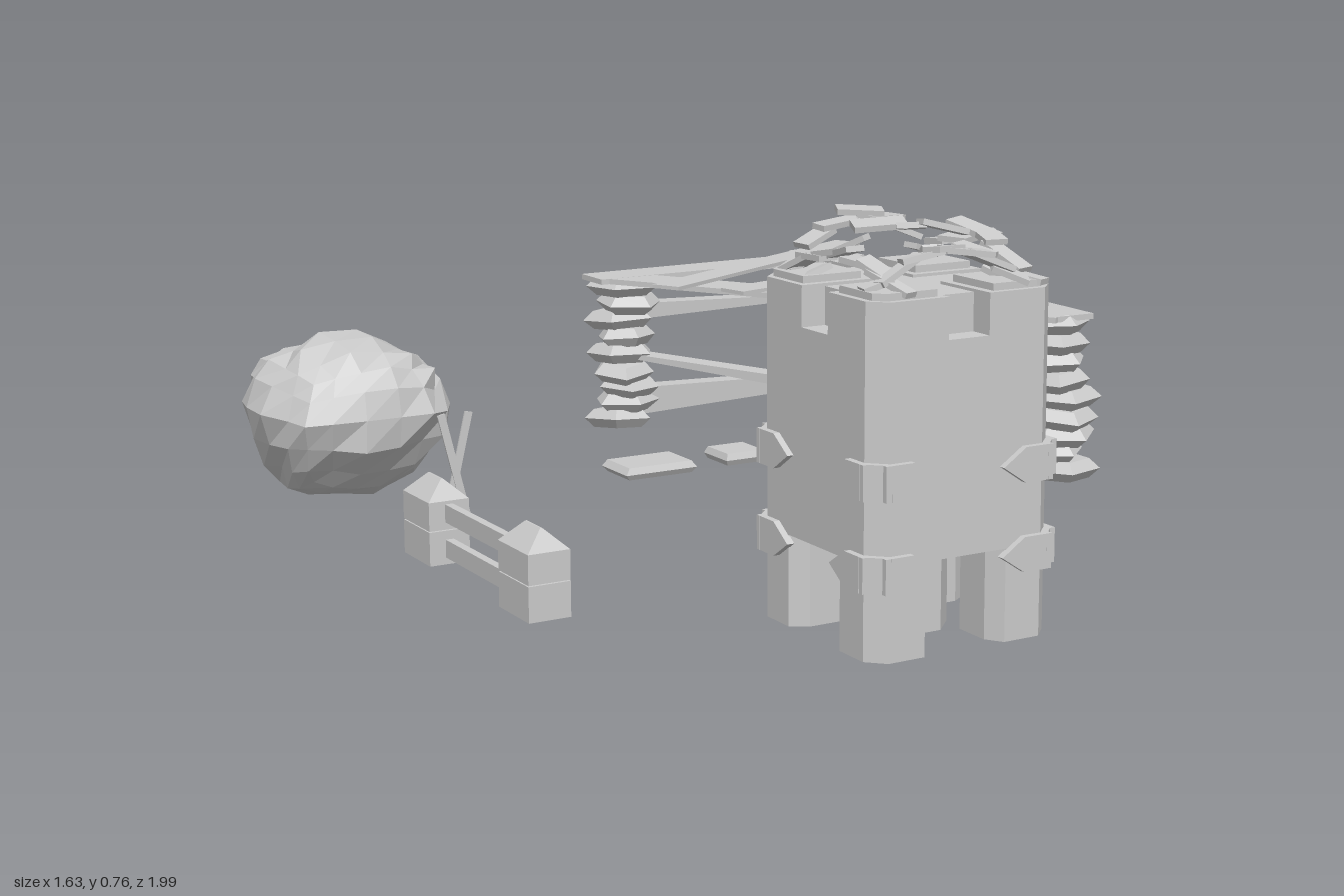
import * as THREE from 'three';

const mat = new THREE.MeshStandardMaterial({ color: 0xcccccc, flatShading: true });

// Small seeded generator for the irregular stone and timber
let seed = 7;
const rnd = () => {
  seed = (seed * 16807) % 2147483647;
  return seed / 2147483647;
};
const jit = (a) => (rnd() * 2 - 1) * a;

function add(parent, name, geo, x = 0, y = 0, z = 0) {
  const m = new THREE.Mesh(geo, mat);
  m.name = name;
  m.position.set(x, y, z);
  parent.add(m);
  return m;
}

function group(parent, name, x = 0, y = 0, z = 0) {
  const g = new THREE.Group();
  g.name = name;
  g.position.set(x, y, z);
  parent.add(g);
  return g;
}

// Upright prism from a plan outline, from y0 to y1
function prism(points, y0, y1) {
  const shape = new THREE.Shape(points.map(([x, y]) => new THREE.Vector2(x, y)));
  return new THREE.ExtrudeGeometry(shape, { depth: y1 - y0, bevelEnabled: false })
    .rotateX(-Math.PI / 2).translate(0, y0, 0);
}

// Plank between two points; width w, height changes from h0 to h1
function beam(parent, name, a, b, w, h0, h1 = h0) {
  const A = new THREE.Vector3(...a), B = new THREE.Vector3(...b);
  const len = A.distanceTo(B);
  const geo = new THREE.BoxGeometry(w, 1, len);
  const p = geo.attributes.position;
  for (let i = 0; i < p.count; i++) p.setY(i, p.getY(i) * (p.getZ(i) < 0 ? h0 : h1));
  const m = add(parent, name, geo, ...A.clone().add(B).multiplyScalar(0.5).toArray());
  m.lookAt(B);
  return m;
}

// Faceted boulder: a subdivided cube pulled towards a ball, with uneven corners
function boulder(parent) {
  const geo = new THREE.BoxGeometry(2, 2, 2, 5, 5, 5);
  const p = geo.attributes.position, v = new THREE.Vector3();
  for (let i = 0; i < p.count; i++) {
    v.fromBufferAttribute(p, i);
    const s = Math.sin(v.x * 12.9 + v.y * 78.2 + v.z * 37.7) * 43758.5;
    const r = 0.94 + 0.14 * (s - Math.floor(s));
    v.lerp(v.clone().normalize(), 0.88).multiplyScalar(r);
    if (v.y < 0) {
      v.x *= 1 + 0.2 * v.y;
      v.z = v.z * (1 + 0.3 * v.y) + 0.18 * v.y;
    }
    p.setXYZ(i, v.x * 0.21, v.y * 0.178, v.z * 0.225);
  }
  geo.computeBoundingBox();
  add(parent, 'boulder', geo, -0.6, -geo.boundingBox.min.y, -0.77);
}

function tower(parent) {
  const t = group(parent, 'tower', -0.22, 0, 0.8);
  const R = 0.18, c = 0.03;
  const body = [];
  for (let k = 0; k < 4; k++) {
    const rot = ([x, y]) => [[x, y], [-y, x], [-x, -y], [y, -x]][k];
    body.push(rot([R, R - c]), rot([R - c, R]));
  }
  add(t, 'towerBody', prism(body, 0.22, 0.58));
  add(t, 'towerDeck', new THREE.BoxGeometry(0.27, 0.07, 0.27), 0, 0.61, 0);
  add(t, 'centreColumn', new THREE.CylinderGeometry(0.075, 0.075, 0.18, 8)
    .rotateY(Math.PI / 8), 0, 0.15, 0);

  const quad = (i) => [[i + 0.02, i], [R - c, i], [R, i + 0.02], [R, R - c],
    [R - c, R], [i + 0.02, R], [i, R - c], [i, i + 0.02]];
  const leg = prism(quad(0.06), 0.06, 0.22);
  const merlon = prism([[0.04, 0.04], [R, 0.04], [R, R - c], [R - c, R], [0.04, R]], 0.58, 0.65);
  const cap = prism([[0.055, 0.055], [R - 0.012, 0.055], [R - 0.012, R - c], [R - c, R - 0.012],
    [0.055, R - 0.012]], 0.65, 0.662);
  // Pointed strap lying on a wall face
  const strapShape = new THREE.Shape([[0.165, -0.03], [0.165, 0.03], [0.11, 0.03], [0.065, 0],
    [0.11, -0.03]].map(([x, y]) => new THREE.Vector2(x, y)));
  const strap = new THREE.ExtrudeGeometry(strapShape, { depth: 0.014, bevelEnabled: false });
  const mirrored = strap.clone().rotateZ(Math.PI);

  for (let k = 0; k < 4; k++) {
    const q = group(t, 'towerCorner');
    q.rotation.y = k * Math.PI / 2;
    add(q, 'towerLeg', leg);
    add(q, 'merlon', merlon);
    add(q, 'merlonCap', cap);
    for (const y of [0.36, 0.208]) {
      add(q, 'cornerStrap', strap, 0, y, R - 0.002);
      add(q, 'cornerStrap', mirrored, 0, y, R - 0.002);
      const block = add(q, 'cornerStrapBlock', new THREE.BoxGeometry(0.054, 0.06, 0.03),
        R - 0.017, y, R - 0.017);
      block.rotation.y = Math.PI / 4;
    }
  }

  // Broken roof slats lying in sagging arcs over the deck
  const arcs = [[-0.13, -0.15, 0.13, -0.14, 0.075], [-0.14, 0.12, 0.1, 0.15, 0.05],
    [-0.13, -0.08, 0.13, 0.1, 0.08], [0.13, -0.13, 0.14, 0.13, 0.05],
    [-0.13, -0.12, -0.12, 0.13, 0.035]];
  for (const [x0, z0, x1, z1, rise] of arcs) {
    for (let i = 0; i < 7; i++) {
      const f = i / 6;
      const s = add(t, 'roofSlat',
        new THREE.BoxGeometry(0.05 + rnd() * 0.045, 0.01, 0.025 + rnd() * 0.02),
        x0 + (x1 - x0) * f, 0.668 + rise * Math.sin(f * Math.PI) + jit(0.008),
        z0 + (z1 - z0) * f);
      s.rotation.set(jit(0.25), Math.atan2(z0 - z1, x1 - x0) + jit(0.5),
        Math.cos(f * Math.PI) * 0.4 + jit(0.15));
    }
  }
}

// Post of bulging, uneven stone slabs
function stack(parent, x, z) {
  const g = group(parent, 'stonePost', x, 0.06, z);
  const n = 9, h = 0.35 / n;
  for (let i = 0; i < n; i++) {
    const profile = [[0, 0], [0.72, 0], [1, 0.5], [0.72, 1], [0, 1]]
      .map(([r, y]) => new THREE.Vector2(r * 0.082, y * h));
    const s = add(g, 'stoneSlab', new THREE.LatheGeometry(profile, 5),
      jit(0.012), i * h, jit(0.012));
    s.rotation.set(jit(0.08), rnd() * 6, jit(0.08));
    s.scale.set(0.85 + rnd() * 0.25, 1.08, 0.85 + rnd() * 0.25);
  }
}

function shelter(parent) {
  const g = group(parent, 'shelter');
  const A = [0.1, -0.83], B = [0.66, -0.86], C = [0.65, 0.09];
  for (const p of [A, B, C]) stack(g, ...p);
  const at = ([x, z], y) => [x, y, z];

  // Top frame
  beam(g, 'topBeam', [0.02, 0.412, -0.83], [0.73, 0.415, -0.83], 0.1, 0.012);
  beam(g, 'topBeam', [0.665, 0.415, -0.94], [0.65, 0.41, 0.14], 0.1, 0.012);
  beam(g, 'topBeam', [0.08, 0.412, -0.81], [0.64, 0.41, 0.12], 0.1, 0.012);
  // Side rails
  beam(g, 'sideRail', at(A, 0.333), at(B, 0.322), 0.05, 0.038, 0.008);
  beam(g, 'sideRail', at(A, 0.122), at(B, 0.115), 0.05, 0.065, 0.03);
  beam(g, 'sideRail', at(A, 0.235), at(C, 0.175), 0.05, 0.01, 0.04);
  beam(g, 'sideRail', at(B, 0.345), at(C, 0.335), 0.06, 0.008);
  // Loose planks across the top
  beam(g, 'roofPlank', [0.07, 0.425, -0.57], [0.775, 0.43, -0.925], 0.07, 0.008);
  beam(g, 'roofPlank', [0.17, 0.424, -0.45], [0.81, 0.428, -0.6], 0.07, 0.008);
  beam(g, 'roofPlank', [0.35, 0.423, -0.155], [0.765, 0.426, -0.42], 0.07, 0.008);
}

function fence(parent) {
  const g = group(parent, 'fence', -0.73, 0, 0);
  // Hipped cap: a box whose top closes to a ridge
  const roof = new THREE.BoxGeometry(0.08, 0.036, 0.12);
  const p = roof.attributes.position;
  for (let i = 0; i < p.count; i++) {
    if (p.getY(i) > 0) p.setXYZ(i, p.getX(i) * 0.04, p.getY(i), p.getZ(i) * 0.5);
  }
  for (const z of [0, 0.42]) {
    add(g, 'fencePostBase', new THREE.BoxGeometry(0.08, 0.064, 0.12), 0, 0.092, z);
    add(g, 'fencePostTop', new THREE.BoxGeometry(0.08, 0.054, 0.12), 0, 0.153, z);
    add(g, 'fencePostCap', roof, 0, 0.198, z);
  }
  for (const y of [0.09, 0.157]) {
    add(g, 'fenceRail', new THREE.BoxGeometry(0.016, 0.034, 0.36), 0, y, 0.21);
  }
}

// Flat paving slab with bevelled rim
function paving(parent, x, z, w, d) {
  const profile = [[0, 0], [0.62, 0], [0.707, 0.012], [0.62, 0.026], [0, 0.026]]
    .map(([r, y]) => new THREE.Vector2(r, y));
  const m = add(parent, 'pavingSlab',
    new THREE.LatheGeometry(profile, 4, Math.PI / 4), x, 0.06, z);
  m.scale.set(w, 1, d);
}

export function createModel() {
  const model = new THREE.Group();
  model.name = 'ruinedCamp';
  boulder(model);
  tower(model);
  shelter(model);
  fence(model);
  paving(model, -0.065, -0.4, 0.17, 0.115);
  paving(model, 0.15, -0.405, 0.1, 0.1);

  // Crossed sticks
  for (const s of [-1, 1]) {
    const m = add(model, 'crossedStick', new THREE.BoxGeometry(0.016, 0.252, 0.004),
      -0.59, 0.155, -0.225 + s * 0.001);
    m.rotation.z = s * 0.24;
  }
  return model;
}
